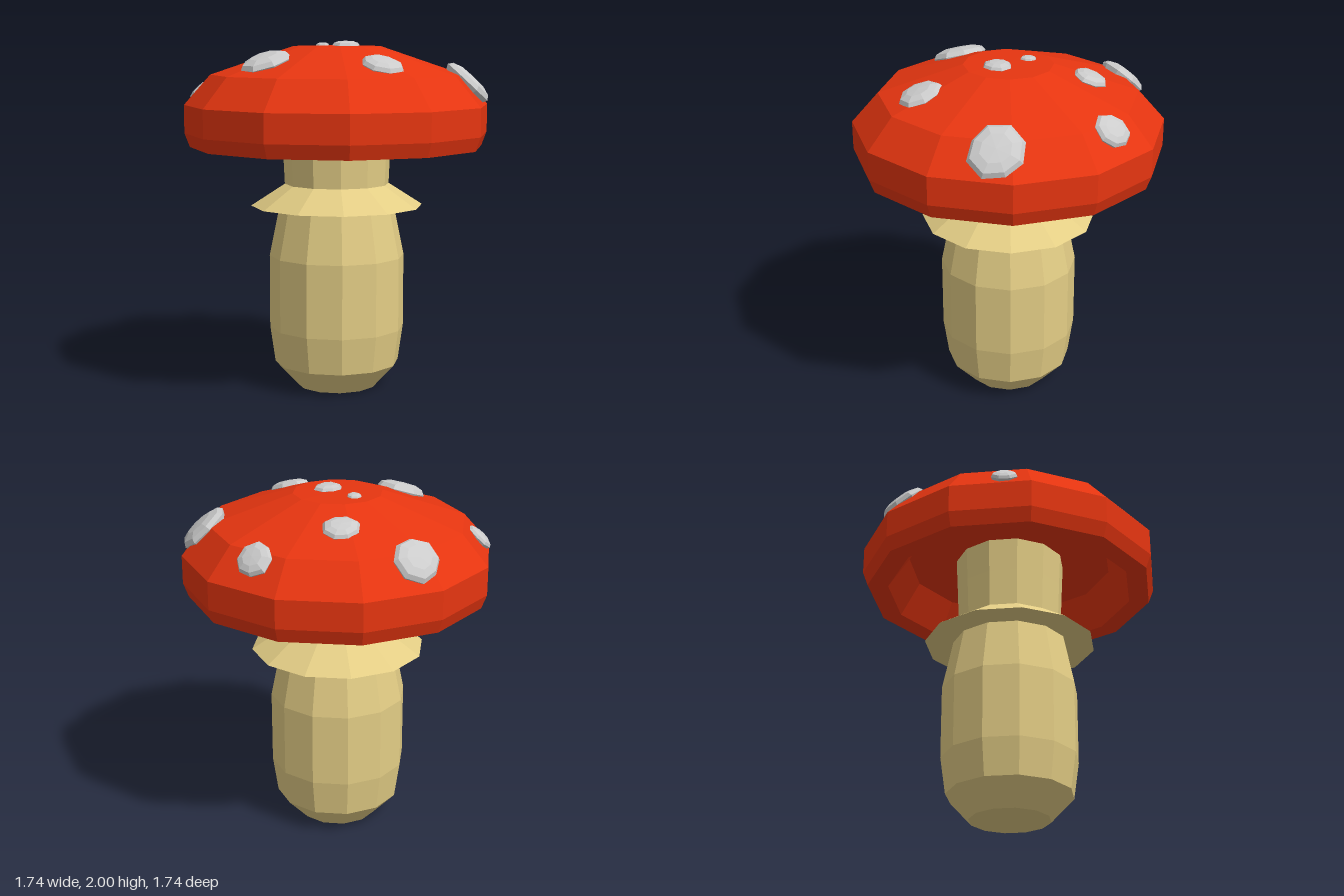
import * as THREE from 'three';

const SIDES = 12;

function material(color) {
  return new THREE.MeshStandardMaterial({ color, flatShading: true });
}

// Faceted solid of revolution; profile runs from the lower axis outward and up.
function turned(name, profile, sides, mat) {
  const points = profile.map(([r, y]) => new THREE.Vector2(r, y));
  const mesh = new THREE.Mesh(new THREE.LatheGeometry(points, sides), mat);
  mesh.name = name;
  return mesh;
}

// Outer slope of the cap, from the rim up to the crown
const capSlope = [[0.87, 1.64], [0.72, 1.81], [0.25, 1.97], [0, 1.975]];

// Height of the cap at a distance from the axis
function capHeight(distance) {
  const r = Math.min(distance * 1.02, 0.87);
  for (let i = 0; i < capSlope.length - 1; i++) {
    const [r0, y0] = capSlope[i], [r1, y1] = capSlope[i + 1];
    if (r >= r1) return y0 + (y1 - y0) * (r0 - r) / (r0 - r1);
  }
  return 1.975;
}

// Chunky eight-sided wart lying on the cap, with a slightly uneven outline
function spot(x, z, radius, index, mat) {
  const distance = Math.hypot(x, z);
  const h = Math.min(0.26 * radius + 0.004, 0.042);
  const mesh = turned('spot' + (index + 1), [
    [0, -h], [radius * 0.85, -h], [radius, 0], [radius * 0.88, h * 0.6], [radius * 0.55, h], [0, h * 1.1],
  ], 8, mat);
  const p = mesh.geometry.attributes.position;
  for (let i = 0; i < p.count; i++) {
    const angle = Math.atan2(p.getX(i), p.getZ(i));
    const k = 1 + 0.06 * Math.sin(2 * angle + index * 1.7) + 0.03 * Math.cos(3 * angle + index);
    p.setX(i, p.getX(i) * k);
    p.setZ(i, p.getZ(i) * k);
  }
  mesh.geometry.computeVertexNormals();
  const tilt = THREE.MathUtils.degToRad(distance > 0.7 ? 43 : distance > 0.25 ? 19 : 1);
  const normal = new THREE.Vector3(
    Math.sin(tilt) * x / distance, Math.cos(tilt), Math.sin(tilt) * z / distance);
  mesh.quaternion.setFromUnitVectors(new THREE.Vector3(0, 1, 0), normal);
  mesh.position.set(x, capHeight(distance), z);
  return mesh;
}

export function createModel() {
  const model = new THREE.Group();
  model.name = 'mushroom';
  const cream = material(0xe3cd85);
  const red = material(0xe63510);
  const grey = material(0xcccccc);

  // Swollen stem, narrowing towards the cap
  model.add(turned('stem', [
    [0, 0], [0.23, 0], [0.36, 0.14], [0.39, 0.35], [0.39, 0.77],
    [0.33, 1.06], [0.3, 1.18], [0.31, 1.4], [0.32, 1.6], [0, 1.6],
  ], SIDES, cream));

  // Flared skirt around the stem
  model.add(turned('skirt', [[0.32, 1.06], [0.495, 1.06], [0.3, 1.185]], SIDES, cream));

  // Cap with a hollow underside and a flat rim
  model.add(turned('cap', [
    [0, 1.6], [0.6, 1.59], [0.72, 1.4], [0.84, 1.4], [0.87, 1.48], ...capSlope,
  ], SIDES, red));

  // Spots: x, z, radius
  const spots = new THREE.Group();
  spots.name = 'spots';
  [
    [0.18, -0.71, 0.105], [-0.6, -0.42, 0.135], [-0.18, -0.41, 0.1],
    [0.68, -0.3, 0.155], [-0.12, -0.06, 0.043], [0.07, 0.03, 0.08],
    [-0.74, 0.27, 0.08], [0.42, 0.31, 0.12], [-0.22, 0.44, 0.15],
  ].forEach(([x, z, r], i) => spots.add(spot(x, z, r, i, grey)));
  model.add(spots);

  return model;
}
